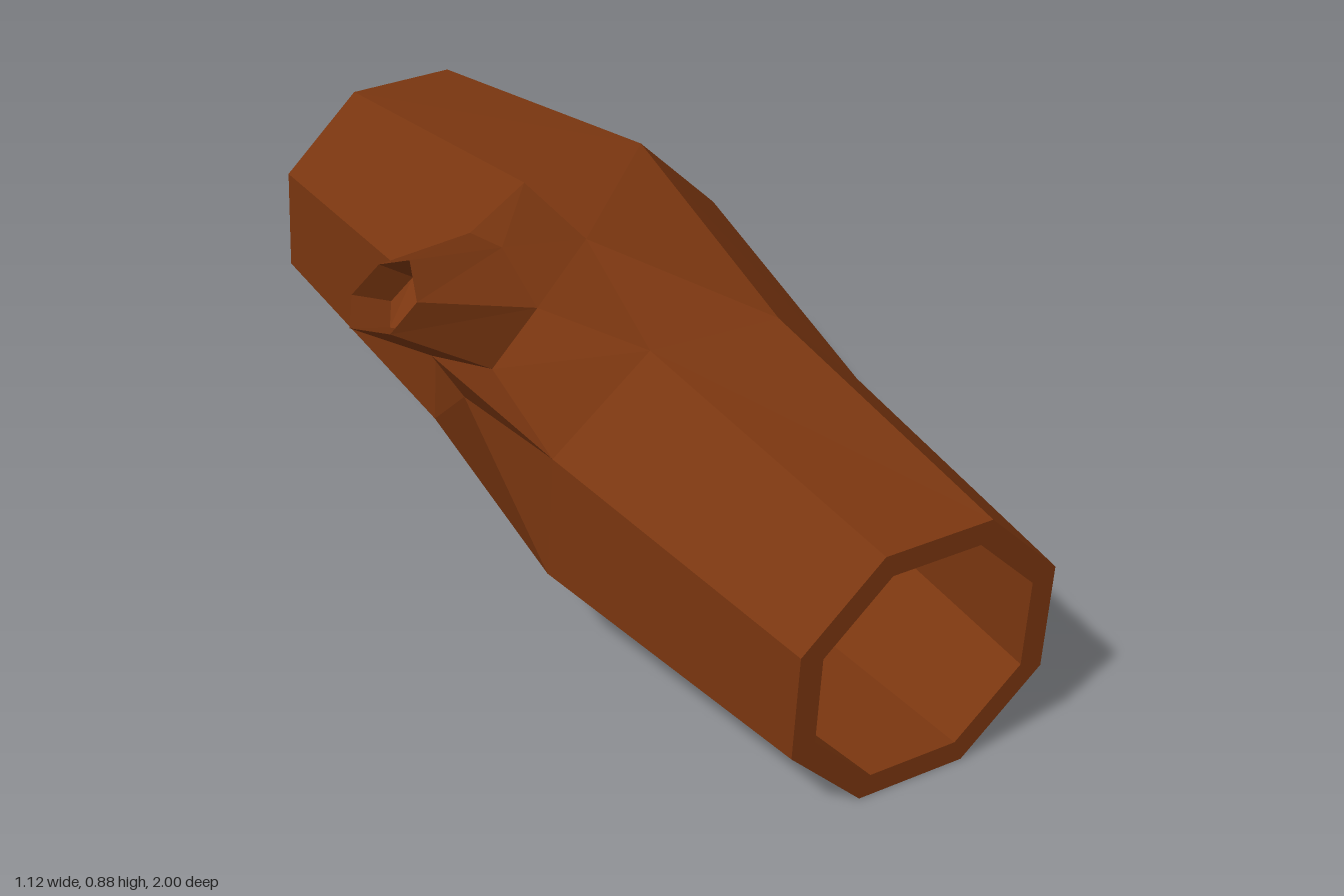
import * as THREE from 'three';

const bark = new THREE.MeshStandardMaterial({ color: 0x7a3610, flatShading: true });

// Collects flat convex polygons (counter-clockwise from outside) into one mesh
function facetMesh(name, polygons) {
  const pos = [];
  for (const p of polygons) {
    for (let i = 1; i < p.length - 1; i++) pos.push(...p[0], ...p[i], ...p[i + 1]);
  }
  const geo = new THREE.BufferGeometry();
  geo.setAttribute('position', new THREE.Float32BufferAttribute(pos, 3));
  geo.computeVertexNormals();
  const mesh = new THREE.Mesh(geo, bark);
  mesh.name = name;
  return mesh;
}

// Tilted octagon with flat sides along the axes, counter-clockwise from the front
const k = Math.SQRT2 - 1;
const corners = [[1, k], [k, 1], [-k, 1], [-1, k], [-1, -k], [-k, -1], [k, -1], [1, -k]];
const octagon = (s, h, [x, y] = s.c) => corners.map(([u, v]) => {
  const px = x + u * h, py = y + v * h;
  return [px, py, s.z + s.tx * (px - s.c[0]) + s.ty * (py - s.c[1])];
});

// Quads joining ring a to ring b; skip lists the sides left open
function strip(a, b, skip = []) {
  return a.map((_, i) => i).filter(i => !skip.includes(i)).map(i => {
    const j = (i + 1) % a.length;
    return [a[i], b[i], b[j], a[j]];
  });
}

// Log sections from front to back: centre, outer and inner half width, z and its tilt
const sections = [
  { c: [0.165, 0.29], h: 0.285, inner: 0.235, z: 0.982, tx: 0, ty: 0.06 },
  { c: [0.075, 0.38], h: 0.335, inner: 0.295, z: 0.36, tx: 0.07, ty: 0.08 },
  { c: [0.19, 0.383], h: 0.365, inner: 0.21, z: -0.335, tx: -0.11, ty: 0.08 },
  { c: [0.1, 0.405], h: 0.285, inner: 0.23, z: -0.983, tx: 0, ty: 0.06 },
];

export function createModel() {
  const group = new THREE.Group();
  group.name = 'hollowLog';
  const outer = sections.map(s => octagon(s, s.h));
  const inner = sections.map(s => octagon(s, s.inner));
  const [, a, b] = outer;

  // Ridge points where the branch grows out of the top and the side
  const top = [0, 0.775, 0.03], side = [-0.29, 0.51, 0.05];

  // Outer bark, the middle stretch opened for the branch
  group.add(facetMesh('outerBark', [
    ...strip(outer[0], outer[1]),
    ...strip(outer[1], outer[2], [1, 2, 3]),
    ...strip(outer[2], outer[3]),
    [top, a[2], a[1], b[1], b[2]],
    [side, b[3], b[4], a[4], a[3]],
  ]));

  // Hollow inside
  group.add(facetMesh('innerWall', [0, 1, 2].flatMap(i => strip(inner[i + 1], inner[i]))));

  // Cut ends
  group.add(facetMesh('frontRim', strip(inner[0], outer[0])));
  group.add(facetMesh('backRim', strip(outer[3], inner[3])));

  // Six-sided branch stub: base, middle and tip rings
  const base = [top, a[2], a[3], side, b[3], b[2]];
  const middle = [
    [-0.2, 0.82, 0.05], [-0.21, 0.765, 0.205], [-0.31, 0.66, 0.205],
    [-0.375, 0.645, 0.08], [-0.3, 0.68, -0.11], [-0.19, 0.78, -0.1],
  ];
  const tip = [
    [-0.435, 0.89, 0.12], [-0.465, 0.85, 0.205], [-0.52, 0.795, 0.2],
    [-0.56, 0.775, 0.11], [-0.515, 0.795, 0.03], [-0.46, 0.85, 0.04],
  ];
  group.add(facetMesh('branch', [...strip(base, middle), ...strip(middle, tip)]));

  // Hollow in the branch tip
  const centre = [-0.495, 0.825, 0.117], shift = [0.08, -0.045, -0.02];
  const pit = tip.map(p => p.map((v, i) => centre[i] + (v - centre[i]) * 0.8 + shift[i]));
  group.add(facetMesh('branchHollow', [...strip(tip, pit), [...pit].reverse()]));

  return group;
}
